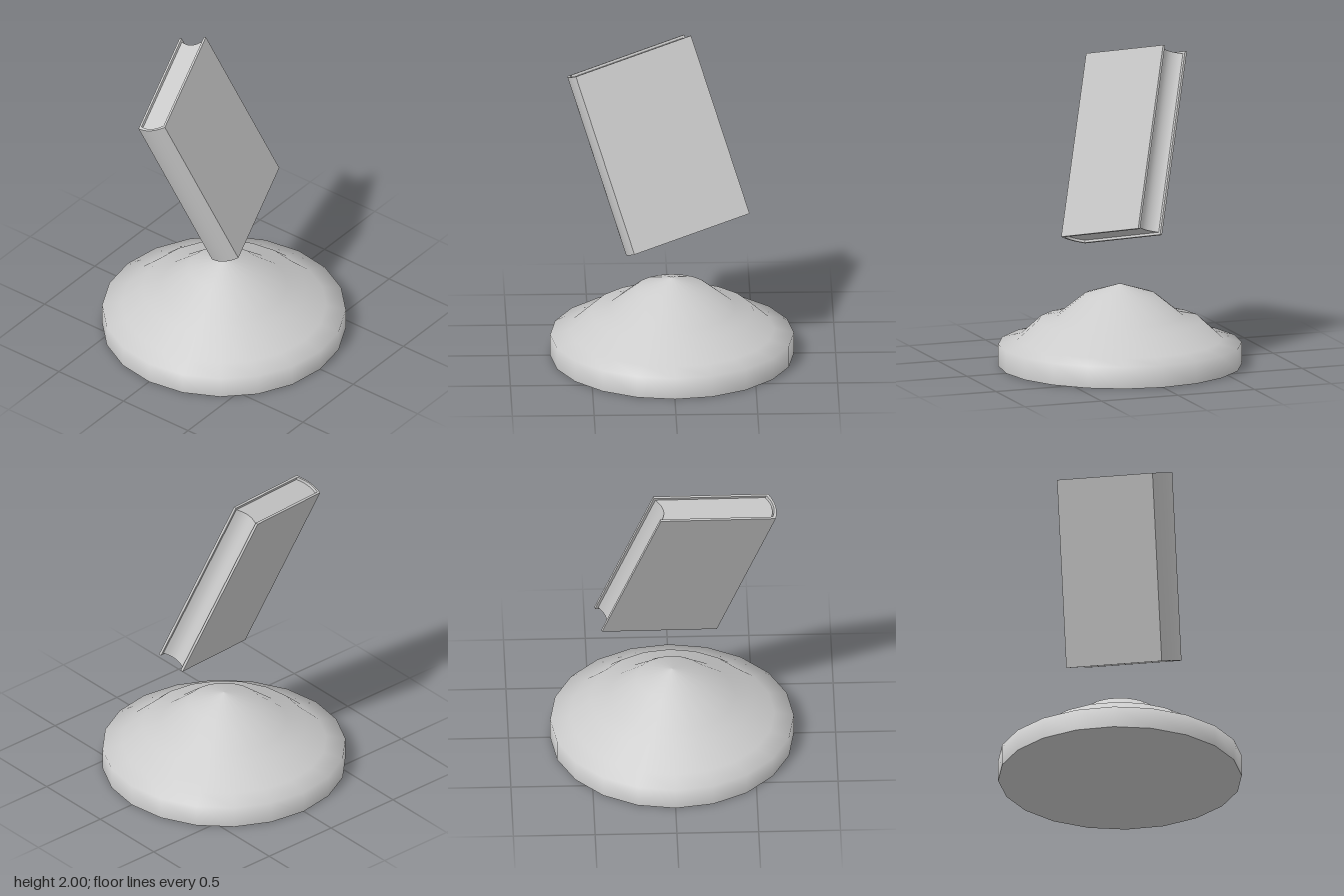
import * as THREE from 'three';
import { toCreasedNormals } from 'three/addons/utils/BufferGeometryUtils.js';

const grey = new THREE.MeshStandardMaterial({ color: 0xcccccc });

function addMesh(parent, name, geometry) {
  const mesh = new THREE.Mesh(geometry, grey);
  mesh.name = name;
  parent.add(mesh);
  return mesh;
}

// Extrudes a plan outline (x, z) upward, centred on y = 0
function extrudeUp(shape, height) {
  const geometry = new THREE.ExtrudeGeometry(shape, { depth: height, bevelEnabled: false, curveSegments: 10 });
  geometry.translate(0, 0, -height / 2);
  geometry.rotateX(-Math.PI / 2);
  return toCreasedNormals(geometry, 0.5);
}

function createBase() {
  const base = new THREE.Group();
  base.name = 'base';
  const profile = [
    [0.745, 0], [0.745, 0.135], [0.626, 0.165], [0.5, 0.28],
    [0.387, 0.305], [0.223, 0.437], [0, 0.508],
  ].map(([r, y]) => new THREE.Vector2(r, y));
  addMesh(base, 'steppedMound', new THREE.LatheGeometry(profile, 20));
  // underside, with corners matching the mound
  const underside = new THREE.CircleGeometry(0.745, 20);
  underside.rotateX(Math.PI / 2);
  addMesh(base, 'underside', underside);
  return base;
}

function createBook() {
  const book = new THREE.Group();
  book.name = 'book';
  const w = 0.383, h = 1.151, t = 0.0935; // half width, height, half thickness
  const board = 0.015, bulge = 0.05, inset = 0.015;
  const ti = t - board;

  // Two boards joined by a rounded spine, as one C-shaped outline
  const cover = new THREE.Shape();
  cover.moveTo(w, -t);
  cover.lineTo(w, -ti);
  cover.lineTo(-w + board, -ti);
  cover.quadraticCurveTo(-w + board - bulge, 0, -w + board, ti);
  cover.lineTo(w, ti);
  cover.lineTo(w, t);
  cover.lineTo(-w, t);
  cover.quadraticCurveTo(-w - bulge, 0, -w, -t);
  addMesh(book, 'cover', extrudeUp(cover, h));

  // Page block: rounded at the spine, hollowed at the fore edge
  const tp = ti - 0.002, left = -w + board + 0.005, right = w - inset;
  const pages = new THREE.Shape();
  pages.moveTo(left, -tp);
  pages.lineTo(right, -tp);
  pages.quadraticCurveTo(right - 0.065, 0, right, tp);
  pages.lineTo(left, tp);
  pages.quadraticCurveTo(left - bulge, 0, left, -tp);
  addMesh(book, 'pages', extrudeUp(pages, h - 2 * inset));

  // Tilted, floating above the base
  const across = new THREE.Vector3(0.926, 0.222, -0.306).normalize();
  const facing = across.clone().cross(new THREE.Vector3(-0.308, 0.917, -0.256)).normalize();
  const up = facing.clone().cross(across);
  book.quaternion.setFromRotationMatrix(new THREE.Matrix4().makeBasis(across, up, facing));
  book.position.set(-0.078, 1.356, -0.056);
  return book;
}

export function createModel() {
  const model = new THREE.Group();
  model.name = 'floatingBookOnBase';
  model.add(createBase(), createBook());
  return model;
}
